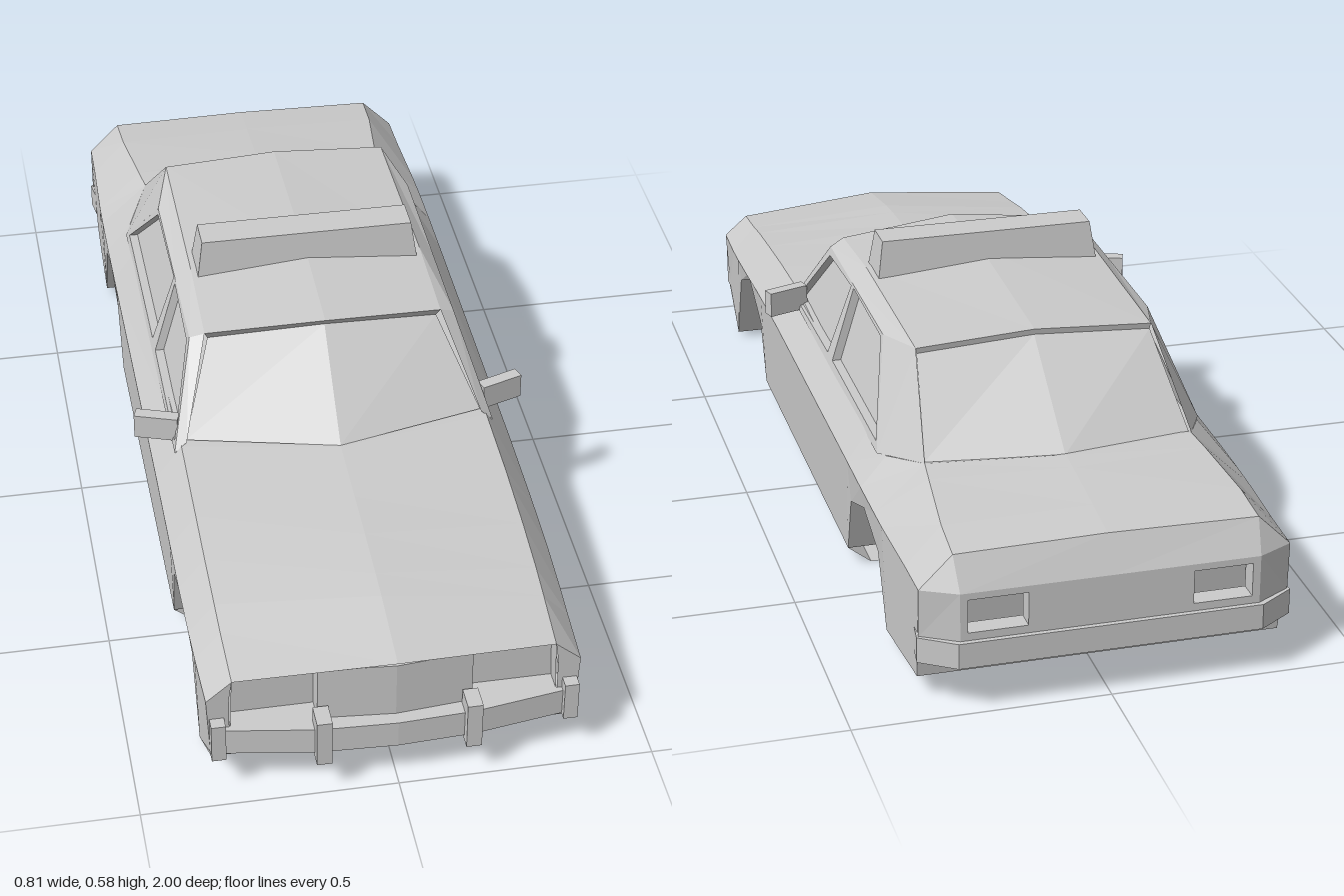
import * as THREE from 'three';

const mat = new THREE.MeshStandardMaterial({ color: 0xcccccc, flatShading: true, side: THREE.DoubleSide });

export function createModel() {
  const car = new THREE.Group();
  car.name = 'sedanShell';

  const add = (name, geometry) => {
    const mesh = new THREE.Mesh(geometry, mat);
    mesh.name = name;
    car.add(mesh);
    return mesh;
  };
  // Repeats a +x part on the other side
  const mirror = (mesh) => {
    const twin = mesh.clone();
    twin.position.x *= -1;
    twin.rotation.y *= -1;
    twin.scale.x = -1;
    mesh.name += 'Left';
    twin.name = mesh.name.replace(/Left$/, 'Right');
    car.add(twin);
  };
  // Faceted surface through rows of points; faces along (row step) x (column step)
  const surf = (name, rows) => {
    const pos = [];
    for (let i = 0; i + 1 < rows.length; i++) {
      for (let j = 0; j + 1 < rows[i].length; j++) {
        const a = rows[i][j], b = rows[i][j + 1], c = rows[i + 1][j + 1], d = rows[i + 1][j];
        pos.push(...a, ...d, ...c, ...a, ...c, ...b);
      }
    }
    const g = new THREE.BufferGeometry();
    g.setAttribute('position', new THREE.Float32BufferAttribute(pos, 3));
    g.computeVertexNormals();
    return add(name, g);
  };
  const shape = (pts) => new THREE.Shape(pts.map(([x, y]) => new THREE.Vector2(x, y)));
  const extrude = (s, depth) => new THREE.ExtrudeGeometry(s, { depth, bevelEnabled: false });
  // Symmetric block from a half plan of [x, z] points, between two heights
  const plan = (name, half, y0, y1) => {
    const pts = [...half, ...half.map(([x, z]) => [-x, z]).reverse()];
    return add(name, extrude(shape(pts.map(([x, z]) => [x, -z])), y1 - y0).rotateX(-Math.PI / 2).translate(0, y0, 0));
  };
  const flip = ([x, y, z]) => [-x, y, z];

  // Body: z, lower edge x y, belt x y, shoulder x y, centre z y
  const stations = [
    [0.94, 0.355, 0.085, 0.362, 0.215, 0.312, 0.258, 0.965, 0.278],
    [0.82, 0.36, 0.013, 0.366, 0.22, 0.315, 0.276, 0.8, 0.306],
    [0.75, 0.362, 0.175, 0.368, 0.226, 0.316, 0.288, 0.74, 0.312],
    [0.63, 0.364, 0.225, 0.37, 0.236, 0.317, 0.302, 0.63, 0.32],
    [0.51, 0.364, 0.17, 0.37, 0.244, 0.317, 0.313, 0.52, 0.326],
    [0.47, 0.362, 0.04, 0.37, 0.246, 0.317, 0.316, 0.49, 0.328],
    [0.3, 0.362, 0.04, 0.37, 0.252, 0.316, 0.325, 0.37, 0.335],
    [-0.37, 0.362, 0.04, 0.37, 0.255, 0.328, 0.315, -0.37, 0.335],
    [-0.41, 0.363, 0.165, 0.37, 0.255, 0.328, 0.314, -0.41, 0.335],
    [-0.53, 0.364, 0.21, 0.37, 0.255, 0.318, 0.317, -0.53, 0.335],
    [-0.64, 0.362, 0.17, 0.369, 0.254, 0.268, 0.346, -0.685, 0.352],
    [-0.7, 0.361, 0.03, 0.368, 0.253, 0.275, 0.342, -0.73, 0.347],
    [-0.86, 0.357, 0.045, 0.362, 0.251, 0.292, 0.327, -0.86, 0.332],
    [-0.955, 0.355, 0.05, 0.36, 0.25, 0.295, 0.315, -0.955, 0.32],
  ];
  surf('body', stations.map(([z, lx, ly, bx, by, sx, sy, cz, cy]) => {
    const half = [[lx, ly, Math.max(z, -0.92)], [bx, by, z], [sx, sy, z]];
    return [...half, [0, cy, cz], ...half.map(flip).reverse()];
  }));

  // Floor and nose underside, leaving the wheel wells open: z, y, outer x
  const inner = 0.235;
  const floor = [[0.95, 0.085, 0.355], [0.82, 0.013, 0.36], [0.47, 0.003, 0.315],
    [-0.37, 0.003, 0.315], [-0.7, 0.03, 0.361], [-0.92, 0.05, 0.355]];
  surf('floor', floor.map(([z, y]) => [[-inner, y, z], [inner, y, z]]));
  for (const [i, name] of [[0, 'noseUnderside'], [2, 'floorSide'], [4, 'tailUnderside']]) {
    mirror(surf(name, floor.slice(i, i + 2).map(([z, y, x]) => [[inner, y, z], [x, y, z]])));
  }
  mirror(surf('sill', [0.47, -0.37].map((z) => [[0.315, 0.003, z], [0.362, 0.04, z]])));

  // Wheel wells follow the lower edge of the body
  for (const [name, from, to] of [['frontWheelWell', 1, 6], ['rearWheelWell', 7, 12]]) {
    const arch = stations.slice(from, to);
    mirror(surf(name, arch.map(([z, x, y]) => [[inner, y, z], [x, y, z]])));
    mirror(surf(name + 'Wall', arch.map(([z, , y]) => [[inner, 0.008, z], [inner, y, z]])));
  }

  // Front: recessed lamp panel, bowed grille, fender ends
  surf('lampPanel', [[[-0.35, 0.085, 0.9], [-0.31, 0.255, 0.9]], [[0, 0.085, 0.9], [0, 0.28, 0.9]],
    [[0.35, 0.085, 0.9], [0.31, 0.255, 0.9]]]);
  plan('grille', [[0, 0.958], [0.15, 0.945], [0.15, 0.88]], 0.085, 0.267);
  mirror(surf('fenderEnd', [[[0.318, 0.085, 0.94], [0.318, 0.215, 0.94], [0.312, 0.258, 0.94]],
    [[0.355, 0.085, 0.94], [0.362, 0.215, 0.94], [0.312, 0.258, 0.94]]]));
  mirror(surf('fenderReturn', [[[0.318, 0.085, 0.9], [0.312, 0.258, 0.9]],
    [[0.318, 0.085, 0.94], [0.312, 0.258, 0.94]]]));
  plan('frontBumper', [[0, 0.985], [0.15, 0.978], [0.33, 0.95], [0.345, 0.89], [0, 0.89]], 0.088, 0.146);
  mirror(add('bumperGuard', new THREE.BoxGeometry(0.03, 0.103, 0.05).translate(0.145, 0.128, 0.975)));
  mirror(add('bumperEnd', new THREE.BoxGeometry(0.028, 0.085, 0.05).translate(0.342, 0.128, 0.94)));

  // Tail: panel with two lamp recesses, chamfered corners and bumper
  const tail = shape([[-0.29, 0.15], [0.29, 0.15], [0.29, 0.25], [-0.29, 0.25]]);
  for (const s of [-1, 1]) {
    tail.holes.push(shape([[s * 0.16, 0.168], [s * 0.275, 0.168], [s * 0.275, 0.236], [s * 0.16, 0.236]]));
  }
  add('tailPanel', extrude(tail, 0.04).translate(0, 0, -0.99));
  surf('tailBack', [[[0.355, 0.05, -0.92], [0.36, 0.25, -0.95], [0.295, 0.315, -0.953]],
    [[-0.355, 0.05, -0.92], [-0.36, 0.25, -0.95], [-0.295, 0.315, -0.953]]]);
  surf('tailTop', [[[0.29, 0.25, -0.99], [0.295, 0.315, -0.955]], [[0, 0.25, -0.99], [0, 0.32, -0.955]],
    [[-0.29, 0.25, -0.99], [-0.295, 0.315, -0.955]]]);
  mirror(surf('tailCorner', [[[0.36, 0.15, -0.95], [0.36, 0.25, -0.955], [0.295, 0.315, -0.955]],
    [[0.29, 0.15, -0.99], [0.29, 0.25, -0.99], [0.295, 0.315, -0.955]]]));
  plan('rearBumper', [[0, -0.91], [0.358, -0.91], [0.364, -0.955], [0.295, -1], [0, -1]], 0.1, 0.152);

  // Cabin sides: window frame and set-back glass, leaning inward with height
  const lean = (g) => {
    const p = g.attributes.position;
    for (let i = 0; i < p.count; i++) {
      const y = p.getY(i);
      p.setXYZ(i, 0.33 - (y - 0.31) * 0.315 - 0.018 + p.getZ(i), y, -p.getX(i));
    }
    g.computeVertexNormals();
    return g;
  };
  const side = [[-0.3, 0.31], [0.5, 0.31], [0.33, 0.485], [-0.15, 0.485]];
  const frame = shape(side);
  frame.holes.push(shape([[-0.275, 0.32], [0.035, 0.325], [0.055, 0.478], [-0.137, 0.47]].slice(0, 4)));
  frame.holes.push(shape([[0.08, 0.325], [0.475, 0.325], [0.32, 0.477], [0.075, 0.48]]));
  mirror(add('windowFrame', lean(extrude(frame, 0.018))));
  mirror(add('sideGlass', lean(new THREE.ShapeGeometry(shape(side)))));

  // Roof, rails and pillars
  const roofEdge = [[0.245, 0.498, 0.16], [0.243, 0.513, -0.05], [0.24, 0.506, -0.46]];
  const roofMid = [[0, 0.518, 0.185], [0, 0.533, -0.05], [0, 0.52, -0.46]];
  const railZ = [0.15, -0.05, -0.33];
  surf('roof', roofEdge.map((p, i) => [p, roofMid[i], flip(p)]));
  mirror(surf('roofRail', roofEdge.map((p, i) => [[0.275, 0.485, railZ[i]], p])));
  mirror(surf('frontPillar', [[[0.305, 0.333, 0.3], roofEdge[0]], [[0.33, 0.31, 0.3], [0.275, 0.485, 0.15]]]));
  mirror(surf('rearPillar', [[[0.33, 0.31, -0.5], [0.275, 0.485, -0.33]], [[0.268, 0.346, -0.64], roofEdge[2]]]));

  // Windscreen under the roof lip, and rear window
  const glassTop = [0.238, 0.48, 0.15], glassMid = [0, 0.503, 0.175], base = [0.305, 0.332, 0.29];
  surf('windscreen', [[flip(base), flip(glassTop)], [[0, 0.335, 0.365], glassMid], [base, glassTop]]);
  surf('roofLip', [[flip(glassTop), flip(roofEdge[0])], [glassMid, roofMid[0]], [glassTop, roofEdge[0]]]);
  const rearTop = [0.238, 0.494, -0.458], rearBase = [0.266, 0.344, -0.63];
  surf('rearWindow', [[rearBase, rearTop, roofEdge[2]], [[0, 0.35, -0.68], [0, 0.508, -0.458], roofMid[2]],
    [flip(rearBase), flip(rearTop), flip(roofEdge[2])]]);

  // Roof sign, tapering upward
  const sign = new THREE.BoxGeometry(0.464, 0.078, 0.094);
  const sp = sign.attributes.position;
  for (let i = 0; i < sp.count; i++) {
    if (sp.getY(i) > 0) sp.setXYZ(i, sp.getX(i) * 0.95, sp.getY(i), sp.getZ(i) * 0.74);
  }
  add('roofSign', sign.translate(0, 0.549, -0.068));

  // Door mirrors, swept back
  const wing = add('doorMirror', new THREE.BoxGeometry(0.09, 0.053, 0.026));
  wing.position.set(0.357, 0.337, 0.236);
  wing.rotation.y = 0.33;
  mirror(wing);

  return car;
}
